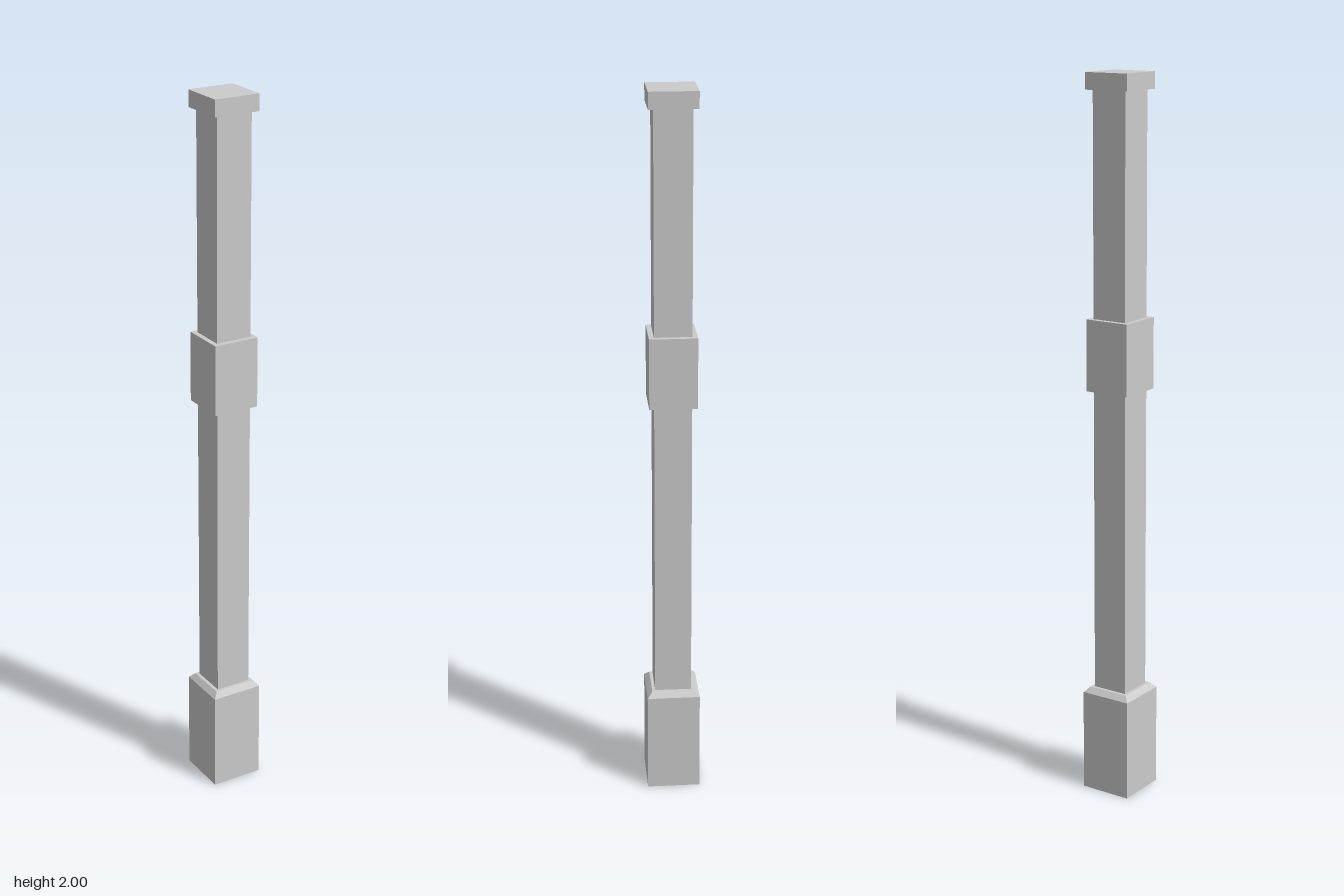
import * as THREE from 'three';

const material = new THREE.MeshStandardMaterial({ color: 0xcccccc, flatShading: true });

// Square block from y0 to y1 with the given half width
function block(name, half, y0, y1) {
  const mesh = new THREE.Mesh(new THREE.BoxGeometry(half * 2, y1 - y0, half * 2), material);
  mesh.position.y = (y0 + y1) / 2;
  mesh.name = name;
  return mesh;
}

// Square base with a chamfered top edge: [half width, height] rings from bottom to top
function chamferedBase(name) {
  const rings = [[0, 0], [0.074, 0], [0.074, 0.287], [0.06, 0.302], [0, 0.302]];
  const profile = rings.map(([half, y]) => new THREE.Vector2(half * Math.SQRT2, y));
  const geometry = new THREE.LatheGeometry(profile, 4, Math.PI / 4).toNonIndexed();
  geometry.computeVertexNormals();
  const mesh = new THREE.Mesh(geometry, material);
  mesh.name = name;
  return mesh;
}

export function createModel() {
  const post = new THREE.Group();
  post.name = 'post';
  post.add(
    chamferedBase('base'),
    block('lowerShaft', 0.051, 0.302, 1.155),
    block('collar', 0.065, 1.155, 1.352),
    block('upperShaft', 0.051, 1.352, 1.955),
    block('cap', 0.065, 1.955, 2),
  );
  return post;
}
